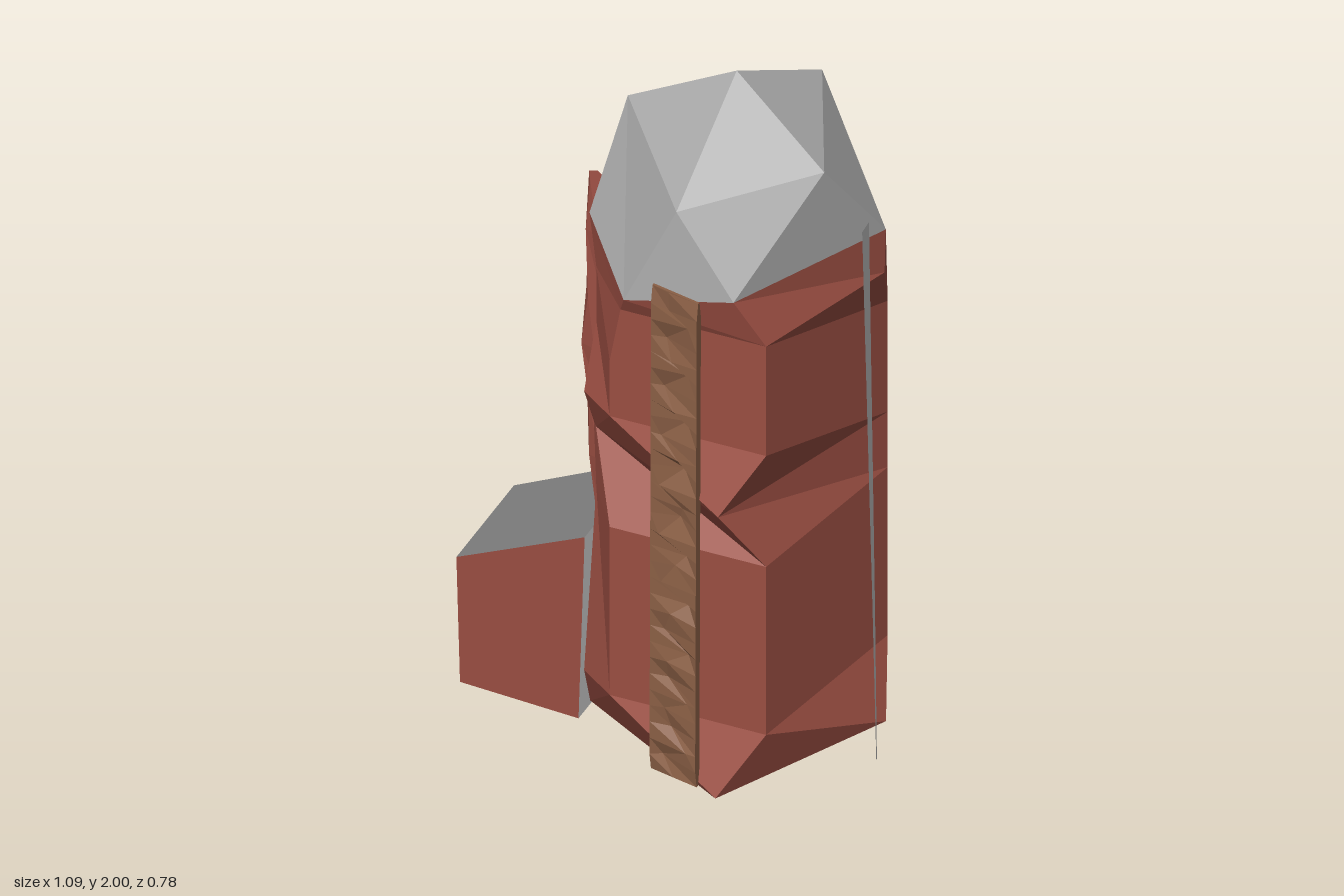
import * as THREE from 'three';

function paint(name, color, side = THREE.FrontSide) {
  const m = new THREE.MeshStandardMaterial({ color, side });
  m.name = name;
  return m;
}
const red = paint('brick red', 0x9a4e42);
const paleGrey = paint('dome grey', 0xaaaaaa, THREE.DoubleSide);
const grey = paint('roof grey', 0x828282, THREE.DoubleSide);
const offWhite = paint('off white', 0xdedede, THREE.DoubleSide);
const brown = paint('ladder brown', 0x8a5f45);

// Faceted mesh from a list of polygons, each a loop of [x, y, z] corners
function facets(name, polygons, material) {
  const pos = [];
  for (const p of polygons) {
    for (let i = 1; i < p.length - 1; i++) pos.push(...p[0], ...p[i], ...p[i + 1]);
  }
  const g = new THREE.BufferGeometry();
  g.setAttribute('position', new THREE.Float32BufferAttribute(pos, 3));
  g.computeVertexNormals();
  const m = new THREE.Mesh(g, material);
  m.name = name;
  return m;
}

// Side faces between successive rings (anticlockwise from above), with closed
// ends; triangles whose corners coincide are left out
function loft(rings) {
  const faces = [[...rings[0]].reverse(), rings[rings.length - 1]];
  const n = rings[0].length;
  const same = (p, q) => p.every((v, k) => v === q[k]);
  for (let r = 0; r < rings.length - 1; r++) {
    for (let i = 0; i < n; i++) {
      const j = (i + 1) % n, lo = rings[r], hi = rings[r + 1];
      faces.push([lo[i], lo[j], hi[i]], [lo[j], hi[j], hi[i]]);
    }
  }
  return faces.filter(([p, q, s, t]) => t || !(same(p, q) || same(q, s) || same(p, s)));
}

// Rim shared by the tower and its dome
const A = [-0.2, 1.54, 0.115], B = [-0.01, 1.455, 0.325], C = [0.3, 1.54, 0.335];
const D = [0.515, 1.54, -0.125], E = [0.27, 1.47, -0.348], F = [-0.07, 1.53, -0.304];

function tower() {
  // columns: left, front left, front right, back right (twice), back, back left
  const corners = [[-0.165, 0.15], [-0.06, 0.3], [0.375, 0.3], [0.47, -0.235], [0.47, -0.235],
    [-0.05, -0.237], [-0.16, -0.24]];
  // one ring at height y, with some corners replaced
  const ring = (y, changes = {}) => corners.map(([x, z], i) => changes[i] || [x, y, z]);
  const a = [-0.2, 0.04, 0.11], c = [0.52, 0.04, -0.115], d = [0.04, 0.04, -0.39];
  return facets('tower', loft([
    [a, a, [0.27, 0.04, 0.38], c, c, d, d],
    ring(0.215, { 0: [-0.165, 0.215, 0.225], 5: [-0.05, 0.38, -0.237], 6: [-0.16, 0.38, -0.24] }),
    ring(0.73),
    ring(0.9, { 0: [-0.19, 0.9, 0.11], 1: [-0.175, 0.9, 0.13], 2: [0.275, 0.9, 0.375], 5: [-0.05, 0.9, -0.3] }),
    ring(1.07, { 0: [-0.165, 1.07, 0.225], 5: [-0.05, 1.07, -0.3] }),
    ring(1.24),
    ring(1.405, { 1: [-0.03, 1.405, 0.3], 3: [0.51, 1.405, -0.128], 4: [0.47, 1.24, -0.235], 5: E }),
    [A, B, C, D, D, E, F],
  ]), red);
}

function dome() {
  const P = [0.155, 2, -0.005];
  const L = [-0.15, 1.835, -0.01], K = [0.262, 1.855, -0.292];
  const R = [0.44, 1.825, 0.087], S = [0.13, 1.755, 0.31];
  return facets('dome', [
    [A, B, L], [L, B, S], [B, C, S], [C, R, S], [C, D, R], [D, K, R],
    [D, E, K], [E, F, K], [F, L, K], [F, A, L],
    [L, S, P], [S, R, P], [R, K, P], [K, L, P],
  ], paleGrey);
}

// Lean-to beside the tower: red walls, grey roof, pale floor and inner side
function shed() {
  const g = new THREE.Group();
  g.name = 'shed';
  const section = (outer, inner) => [
    [-0.535, 0.04, outer], [-0.2, 0.03, inner], [-0.183, 0.59, inner], [-0.545, 0.42, outer],
  ];
  const f = section(0.17, 0.182), b = section(-0.183, -0.19);
  g.add(facets('shedWalls', [f, [...b].reverse(), [b[0], f[0], f[3], b[3]]], red));
  g.add(facets('shedRoof', [[f[3], f[2], b[2], b[3]]], grey));
  g.add(facets('shedFloor', [[f[0], b[0], b[1], f[1]]], offWhite));
  g.add(facets('shedInnerSide', [[f[1], b[1], b[2], f[2]]], offWhite));
  // small window chips, just proud of the walls
  g.add(facets('sideWindow', [[[-0.549, 0.335, -0.035], [-0.546, 0.26, 0.02], [-0.549, 0.325, 0.04]]], offWhite));
  g.add(facets('backWindow', [[[-0.35, 0.32, -0.192], [-0.345, 0.275, -0.192], [-0.375, 0.28, -0.192]]], offWhite));
  return g;
}

// Irregular drain pipe rising above the shed
function sidePipe() {
  const rows = [[0.57, -0.225, 0.012], [0.73, -0.216, 0.036], [0.9, -0.22, 0.038], [1.07, -0.23, 0.043],
    [1.22, -0.22, 0.041], [1.42, -0.222, 0.039], [1.56, -0.226, 0.027]];
  const rings = rows.map(([y, cx, r], k) => Array.from({ length: 6 }, (_, i) => {
    const t = i * Math.PI / 3 - (k % 2) * 0.3;
    const x = cx + r * Math.cos(t);
    return [x, k === 6 ? y - (x - cx) * 0.8 : y, -r * Math.sin(t)];
  }));
  return facets('sidePipe', loft(rings), red);
}

// Leaning ladder strip: smooth rails with crumpled rungs between them
function ladder() {
  const rings = [], n = 30;
  for (let i = 0; i <= n; i++) {
    const t = i / n, end = i === 0 || i === n;
    const y = 0.07 + 1.475 * t, mid = 0.374 - 0.01 * t, half = end ? 0.004 : 0.013;
    const dent = end ? 0 : 0.011 + 0.011 * Math.sin(i * 2.4);
    const x = 0.152 + 0.04 * Math.sin(i * 4.1), lift = end ? 0 : 0.012 * Math.sin(i * 2.1);
    rings.push([
      [0.09, y + 0.012, mid + half], [x, y + lift, mid + half - dent], [0.217, y - 0.012, mid + half],
      [0.217, y - 0.012, mid - half], [0.152, y, mid - half], [0.09, y + 0.012, mid - half],
    ]);
  }
  return facets('ladder', loft(rings), brown);
}

// Thin tapering conductor on the +x side
function conductor() {
  const l = [0.514, 1.62, 0.018], r = [0.514, 1.625, -0.024];
  const ml = [0.537, 0.46, 0.005], mr = [0.537, 0.46, -0.01];
  return facets('conductor', [[l, ml, mr, r], [ml, [0.545, 0, 0], [0.545, 0, -0.004], mr]], paleGrey);
}

export function createModel() {
  const model = new THREE.Group();
  model.name = 'silo';
  model.add(tower(), dome(), shed(), sidePipe(), ladder(), conductor());
  return model;
}
